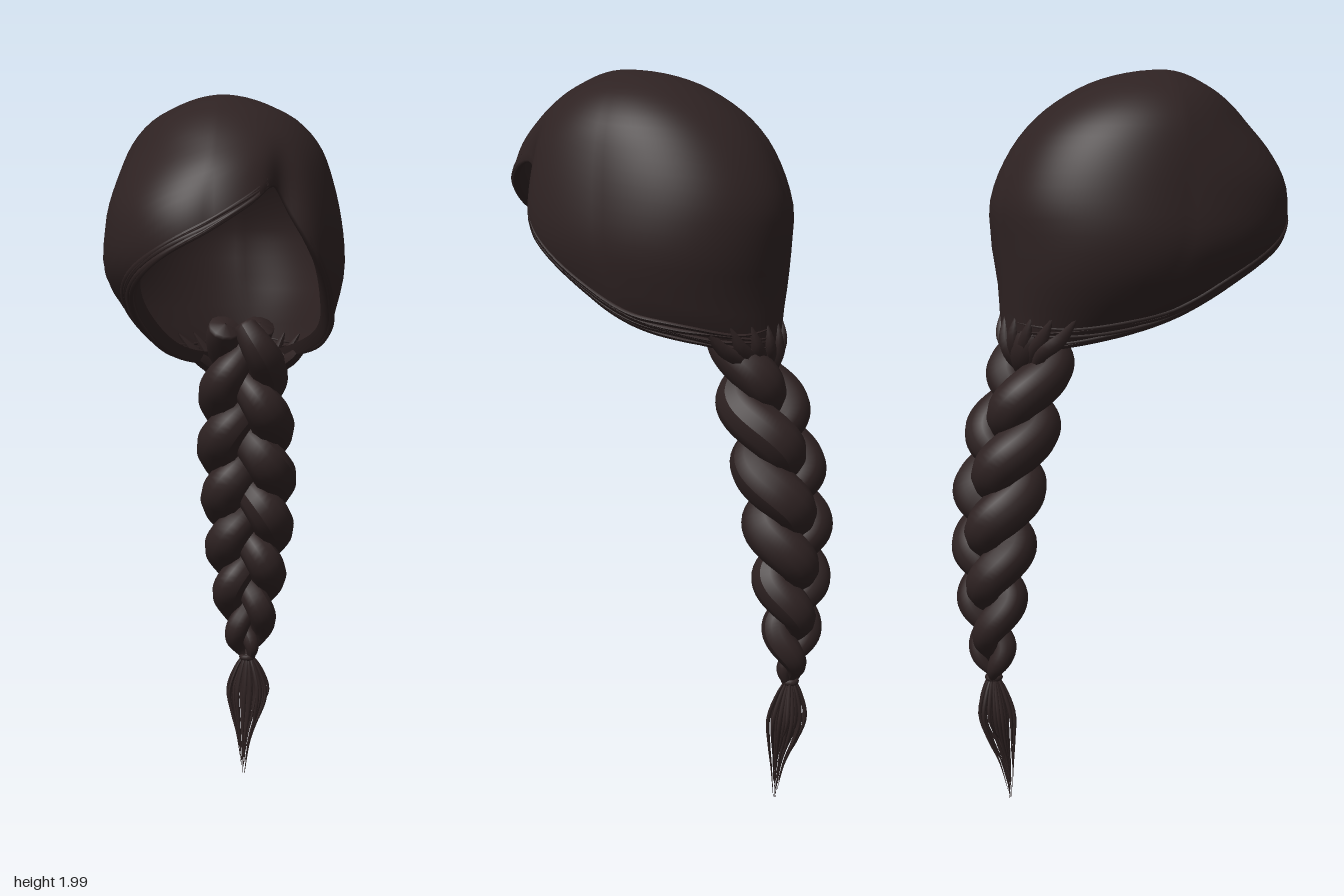
import * as THREE from 'three';

const { smoothstep, lerp, degToRad } = THREE.MathUtils;

// Smooth interpolation through rows of [key, value, value, ...]
function table(rows) {
  const slope = (i, k) => {
    const a = rows[Math.max(0, i - 1)], b = rows[Math.min(rows.length - 1, i + 1)];
    return (b[k] - a[k]) / (b[0] - a[0]);
  };
  return (t) => {
    t = Math.min(Math.max(t, rows[0][0]), rows[rows.length - 1][0]);
    let i = 0;
    while (i < rows.length - 2 && t > rows[i + 1][0]) i++;
    const a = rows[i], b = rows[i + 1], h = b[0] - a[0], s = (t - a[0]) / h, s2 = s * s, s3 = s2 * s;
    return a.slice(1).map((v, j) => (2 * s3 - 3 * s2 + 1) * v + (3 * s2 - 2 * s3) * b[j + 1]
      + h * ((s3 - 2 * s2 + s) * slope(i, j + 1) + (s3 - s2) * slope(i + 1, j + 1)));
  };
}

// Cap cross-sections: q = sqrt(2 - y), then half width, centre x, front z, back z
const section = table([
  [0, 0, 0.0, 0.14, 0.14], [0.173, 0.13, 0.0, 0.245, -0.04], [0.25, 0.19, 0.0, 0.3, -0.11],
  [0.36, 0.25, 0.0, 0.375, -0.205], [0.458, 0.28, 0.0, 0.435, -0.27], [0.59, 0.305, 0.002, 0.47, -0.323],
  [0.67, 0.31, 0.002, 0.45, -0.32], [0.74, 0.285, 0.01, 0.38, -0.315], [0.8, 0.235, 0.028, 0.29, -0.312],
  [0.855, 0.145, 0.025, 0.07, -0.31],
]);
// Hem height by angle in degrees: 0 is the front, positive is +x
const hem = table([
  [-180, 1.275], [-150, 1.275], [-120, 1.28], [-90, 1.305], [-75, 1.335], [-60, 1.41], [-40, 1.515], [-20, 1.595],
  [0, 1.655], [20, 1.72], [33, 1.765], [40, 1.745], [48, 1.66], [57, 1.57], [73, 1.45], [90, 1.365], [105, 1.33],
  [130, 1.295], [150, 1.28], [180, 1.275],
]);

// Point on the cap at an angle and height; scale pulls it in or out
function capPoint(deg, y, scale = 1) {
  const q = Math.sqrt(Math.max(0, 2 - y)), a = degToRad(deg);
  const [w, cx, zf, zb] = section(q);
  // Step behind the parting, and fuller corners at the sweep and behind the other ear
  const dent = 0.12 * Math.exp(-(((deg - 40) / 9) ** 2)) * smoothstep(q, 0.32, 0.55);
  const low = deg < 0 ? -0.07 : 0.04;
  const corner = Math.max(0, -Math.sin(2 * a)) * lerp(low, 0.075, smoothstep(q, 0.36, 0.57)) * (1 - smoothstep(q, 0.67, 0.8));
  const k = scale * (1 - dent + corner);
  return new THREE.Vector3(cx + w * k * Math.sin(a), y, (zf + zb) / 2 + ((zf - zb) / 2) * k * Math.cos(a));
}

// Hair shell with a rim that rolls inwards
function capGeometry() {
  const cols = 144, rows = 26, rim = [[0.985, -0.006], [0.945, 0.0], [0.9, 0.03]];
  const pos = [], index = [], total = rows + rim.length;
  for (let r = 0; r <= total; r++) {
    for (let c = 0; c < cols; c++) {
      const deg = -180 + (c * 360) / cols, e = hem(deg)[0];
      const q = Math.sqrt(2 - e) * Math.min(1, r / rows);
      const [s, dy] = r > rows ? rim[r - rows - 1] : [1, 0];
      const p = capPoint(deg, 2 - q * q, s);
      pos.push(p.x, p.y + dy, p.z);
      if (r < total) {
        const a = r * cols + c, b = r * cols + ((c + 1) % cols);
        index.push(a, a + cols, b, b, a + cols, b + cols);
      }
    }
  }
  const g = new THREE.BufferGeometry();
  g.setAttribute('position', new THREE.Float32BufferAttribute(pos, 3));
  g.setIndex(index);
  g.computeVertexNormals();
  return g;
}

// Tube whose radius follows a rule of (u, centre)
function lockGeometry(points, radius, segs, sides) {
  const curve = new THREE.CatmullRomCurve3(points);
  const g = new THREE.TubeGeometry(curve, segs, 1, sides);
  const p = g.attributes.position, v = new THREE.Vector3();
  for (let i = 0; i <= segs; i++) {
    const c = curve.getPointAt(i / segs), r = radius(i / segs, c);
    for (let j = 0; j <= sides; j++) {
      const n = i * (sides + 1) + j;
      v.fromBufferAttribute(p, n).sub(c).multiplyScalar(r).add(c);
      p.setXYZ(n, v.x, v.y, v.z);
    }
  }
  g.computeVertexNormals();
  return g;
}

export function createModel() {
  const model = new THREE.Group();
  const hair = new THREE.MeshStandardMaterial({ color: 0x2e2222, side: THREE.DoubleSide });
  hair.name = 'dark brown hair';
  const group = (name) => {
    const g = new THREE.Group();
    g.name = name;
    model.add(g);
    return g;
  };
  const add = (parent, name, geometry) => {
    const m = new THREE.Mesh(geometry, hair);
    m.name = name;
    parent.add(m);
    return m;
  };
  let seed = 7;
  const rand = () => (seed = (seed * 16807) % 2147483647) / 2147483647;

  add(model, 'hairCap', capGeometry());

  // Fine locks lying along the hem of the sweep and of both sides
  const hemLocks = group('hemLocks');
  for (const [from, to] of [[30, -168], [52, 168]]) {
    for (let k = 0; k < 5; k++) {
      const pts = [];
      for (let i = 0; i <= 24; i++) {
        const deg = from + ((to - from) * i) / 24;
        const rise = k * (0.004 + 0.012 * (i / 24)) + 0.004 * Math.sin(i * 0.5 + k * 2);
        pts.push(capPoint(deg, hem(deg)[0] + rise, 0.998));
      }
      add(hemLocks, 'hemLock', lockGeometry(pts, (u) => 0.001 + 0.006 * Math.sin(Math.PI * u) ** 0.6, 60, 5));
    }
  }

  // Braid centre line and size by height: x, z, scale
  const braidLine = table([
    [0.36, 0.02, -0.358, 0.13], [0.42, 0.02, -0.362, 0.45], [0.53, 0.02, -0.362, 0.68], [0.66, 0.02, -0.358, 0.85],
    [0.85, 0.025, -0.34, 0.98], [1.05, 0.02, -0.295, 1.0], [1.2, 0.022, -0.245, 0.92], [1.3, 0.022, -0.215, 0.8],
    [1.39, 0.022, -0.19, 0.68],
  ]);

  // Three plaited strands, weaving in a figure of eight
  const braid = group('braid');
  for (let s = 0; s < 3; s++) {
    const pts = [], steps = 72;
    const phase = (y) => ((1.39 - y) / 0.53) * Math.PI * 2 * (1 + 0.12 * (1.39 - y)) + (s * Math.PI * 2) / 3;
    for (let i = 0; i <= steps; i++) {
      const y = 1.39 - (1.03 * i) / steps, t = phase(y), [x, z, k] = braidLine(y);
      pts.push(new THREE.Vector3(x + 0.079 * k * Math.sin(t), y, z + 0.046 * k * Math.sin(2 * t)));
    }
    const radius = (u, c) => (u === 0 ? 0.002 : braidLine(c.y)[2] * (0.049 + 0.018 * Math.abs(Math.sin(phase(c.y)))));
    add(braid, 'braidStrand', lockGeometry(pts, radius, 150, 12));
  }

  // Locks drawn from the nape into the top of the braid
  const nape = group('napeLocks');
  for (let i = 0; i < 9; i++) {
    const t = i / 8 - 0.5, deg = 180 - t * 110, d = deg > 180 ? deg - 360 : deg;
    const pts = [
      capPoint(d, 1.36, 0.985), capPoint(d, 1.3, 0.99),
      new THREE.Vector3(0.02 + t * 0.2, 1.26, -0.3 + 0.1 * Math.abs(t)),
      new THREE.Vector3(0.02 + t * 0.12, 1.19, -0.26),
    ];
    add(nape, 'napeLock', lockGeometry(pts, (u) => 0.002 + 0.02 * Math.sin(Math.PI * u), 14, 6));
  }

  // Tie at the end of the braid
  const tie = add(model, 'braidTie', new THREE.TorusGeometry(0.016, 0.009, 8, 16));
  tie.rotation.x = Math.PI / 2;
  tie.position.set(0.02, 0.365, -0.358);

  // Loose, uneven tuft below the tie
  const tuft = group('tuft');
  for (let i = 0; i < 30; i++) {
    const a = i * 2.4, r = Math.sqrt((i + 0.5) / 30) * (0.85 + 0.3 * rand()), low = 0.22 * rand() * r;
    const ring = (y, k, x, z) => new THREE.Vector3(x + 0.072 * k * r * Math.cos(a), y, z + 0.05 * k * r * Math.sin(a));
    const pts = [
      ring(0.375, 0.15, 0.02, -0.358), ring(0.33, 0.6, 0.02, -0.357), ring(0.26, 0.98, 0.02, -0.353),
      ring(0.18 + low * 0.2, 0.75, 0.018, -0.342), ring(0.1 + low * 0.5, 0.4, 0.014, -0.328),
      ring(low, 0.1 + low, 0.012, -0.318),
    ];
    add(tuft, 'tuftLock', lockGeometry(pts, (u) => 0.0005 + 0.0065 * Math.sin(Math.PI * u ** 0.7) * (1 - 0.6 * u), 18, 5));
  }
  return model;
}
